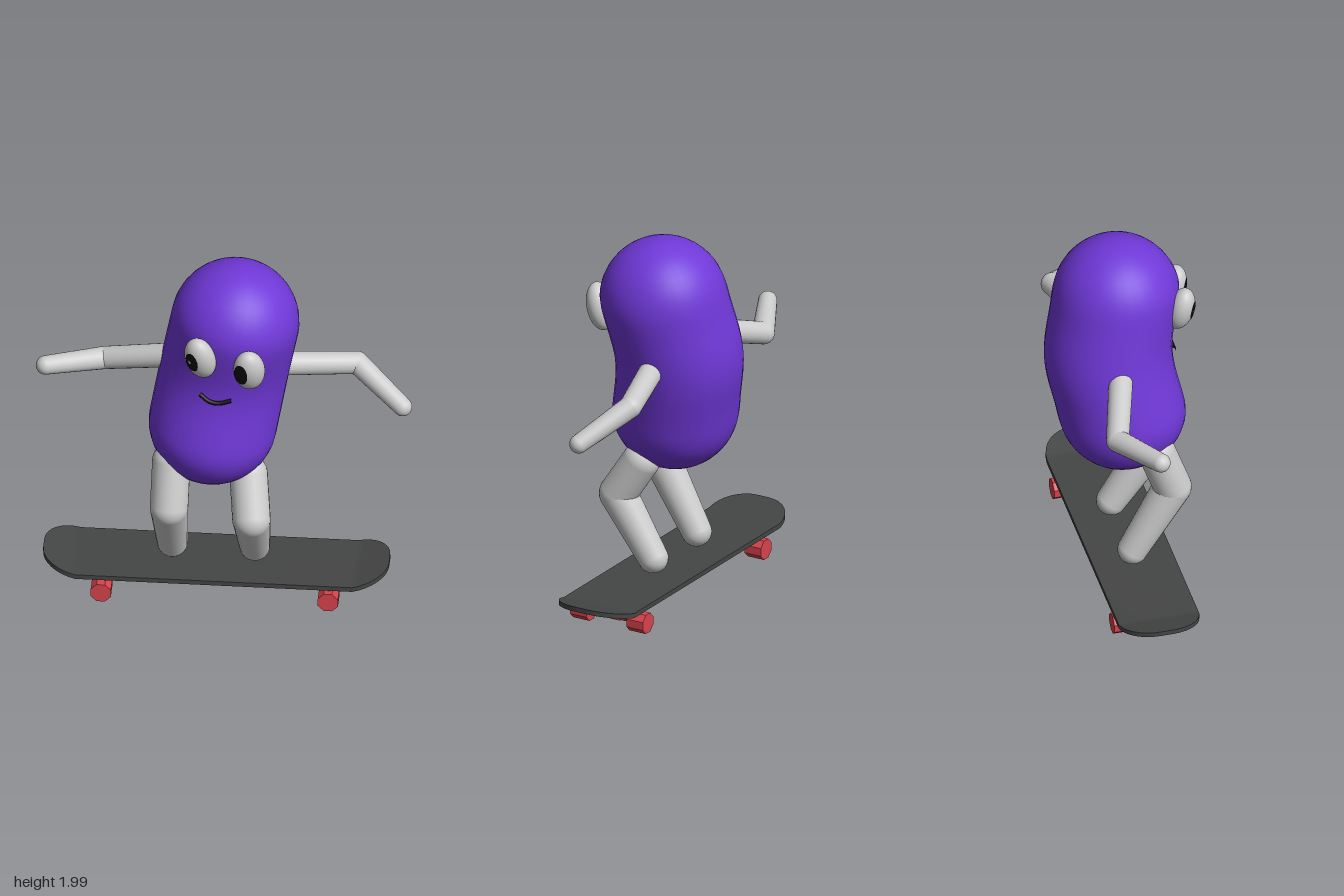
import * as THREE from 'three';
import { mergeVertices } from 'three/addons/utils/BufferGeometryUtils.js';

const mat = (color, extra = {}) => new THREE.MeshStandardMaterial({ color, ...extra });
const V = (p) => new THREE.Vector3(...p);

function add(parent, name, geometry, material, pos = [0, 0, 0]) {
  const mesh = new THREE.Mesh(geometry, material);
  mesh.name = name;
  mesh.position.set(...pos);
  parent.add(mesh);
  return mesh;
}

// Moves every vertex of a geometry by a rule
function reshape(geometry, rule) {
  const p = geometry.attributes.position;
  const v = new THREE.Vector3();
  for (let i = 0; i < p.count; i++) {
    rule(v.fromBufferAttribute(p, i));
    p.setXYZ(i, v.x, v.y, v.z);
  }
  return geometry;
}

// Tapered limb: round joints linked by cones
function limb(parent, name, points, radii, material) {
  const group = new THREE.Group();
  group.name = name;
  parent.add(group);
  points.forEach((p, i) => {
    add(group, name + 'Joint', new THREE.SphereGeometry(radii[i], 24, 16), material, p);
    if (i === 0) return;
    const a = V(points[i - 1]), b = V(p), dir = b.clone().sub(a);
    const cone = new THREE.CylinderGeometry(radii[i], radii[i - 1], dir.length(), 24, 1, true);
    const mesh = add(group, name + 'Segment', cone, material, a.add(b).multiplyScalar(0.5).toArray());
    mesh.quaternion.setFromUnitVectors(V([0, 1, 0]), dir.normalize());
  });
}

// Egg-shaped eye with a pupil patch lying on its surface
function eye(parent, name, pos, yaw, gaze, pupilAngle, white, black) {
  const group = new THREE.Group();
  group.name = name;
  group.position.set(...pos);
  group.rotation.set(0.25, yaw, 0.1, 'YXZ');
  group.scale.set(0.083, 0.13, 0.07);
  parent.add(group);
  add(group, 'eyeball', new THREE.SphereGeometry(1, 32, 24), white);
  const dir = V(gaze).normalize();
  const cap = (n, angle, radius, d, m) =>
    add(group, n, new THREE.SphereGeometry(radius, 24, 6, 0, Math.PI * 2, 0, angle), m)
      .quaternion.setFromUnitVectors(V([0, 1, 0]), d);
  cap('pupil', pupilAngle, 1.025, dir, black);
  return { cap, dir };
}

export function createModel() {
  const model = new THREE.Group();
  model.name = 'beanSkater';
  const grey = mat(0xcccccc), purple = mat(0x7038d8), black = mat(0x0a0a0a);
  const deckMat = mat(0x444645), red = mat(0xd8434c, { flatShading: true });

  // Bean body: capsule bent backwards in the middle and leaning sideways
  let bean = new THREE.CapsuleGeometry(0.335, 0.65, 12, 36, 12);
  bean.deleteAttribute('uv');
  bean.deleteAttribute('normal');
  bean = mergeVertices(bean);
  reshape(bean, (v) => {
    const t = Math.min(1, Math.abs(v.y) / 0.42);
    v.z -= 0.03 * (1 + Math.cos(Math.PI * t));
  });
  bean.computeVertexNormals();
  add(model, 'body', bean, purple, [0, 1.345, 0]).rotation.z = -0.178;

  // Face
  eye(model, 'leftEye', [0.157, 1.587, 0.325], 0.2, [-0.67, 0.2, 0.74], 0.53, grey, black);
  const r = eye(model, 'rightEye', [-0.1, 1.637, 0.305], -0.35, [-0.22, 0.2, 0.96], 0.47, grey, black);
  r.cap('glint', 0.09, 1.04, r.dir.clone().add(V([-0.1, 0.02, 0])).normalize(), grey);
  const smile = new THREE.CatmullRomCurve3(
    [[-0.105, 1.375, 0.262], [-0.06, 1.345, 0.277], [-0.01, 1.335, 0.282], [0.06, 1.352, 0.276]].map(V));
  add(model, 'mouth', new THREE.TubeGeometry(smile, 20, 0.012, 8), black);

  // Arms and legs
  const armR = [0.064, 0.06, 0.05], legR = [0.1, 0.1, 0.08];
  limb(model, 'leftArm', [[0.28, 1.36, -0.07], [0.68, 1.31, -0.18], [0.93, 1.155, -0.02]], armR, grey);
  limb(model, 'rightArm', [[-0.26, 1.39, -0.06], [-0.64, 1.265, -0.18], [-0.935, 1.31, -0.025]], armR, grey);
  limb(model, 'leftLeg', [[0.135, 0.76, 0.09], [0.16, 0.56, 0.215], [0.16, 0.24, 0]], legR, grey);
  limb(model, 'rightLeg', [[-0.265, 0.85, 0.13], [-0.27, 0.61, 0.215], [-0.27, 0.24, 0]], legR, grey);

  // Deck: slab with rounded corners and kicked-up ends
  const steps = 8, halfL = 0.903, halfW = 0.215, corner = 0.18;
  const deck = new THREE.BoxGeometry(2 * steps + 1, 0.026, 2, 2 * steps + 1, 1, 1);
  reshape(deck, (v) => {
    const a = ((Math.abs(v.x) - 0.5) / steps) * Math.PI / 2;
    v.x = Math.sign(v.x) * (halfL - corner + corner * Math.sin(a));
    v.z *= halfW - corner + corner * Math.cos(a);
    v.y += 0.25 * Math.max(0, Math.abs(v.x) - (halfL - corner));
  });
  deck.computeVertexNormals();
  add(model, 'deck', deck, deckMat, [-0.038, 0.143, 0.007]);

  // Trucks with axle, hanger and two wheels
  for (const [name, x, z] of [['leftTruck', 0.56, 0.007], ['rightTruck', -0.625, 0.015]]) {
    const truck = new THREE.Group();
    truck.name = name;
    truck.position.set(x, 0.058, z);
    model.add(truck);
    const axle = new THREE.CylinderGeometry(0.016, 0.016, 0.3, 8).rotateX(Math.PI / 2);
    add(truck, 'axle', axle, red);
    const side = new THREE.Shape([[-0.065, -0.012], [0.065, -0.012], [0.05, 0.03], [0.045, 0.074],
      [-0.045, 0.074], [-0.05, 0.03]].map((p) => new THREE.Vector2(...p)));
    const hanger = new THREE.ExtrudeGeometry(side, { depth: 0.04, bevelEnabled: false })
      .translate(0, 0, -0.02).rotateY(Math.PI / 2);
    add(truck, 'hanger', hanger, red);
    for (const s of [-1, 1]) {
      const wheel = new THREE.CylinderGeometry(0.057, 0.057, 0.1, 8)
        .rotateY(Math.PI / 8).rotateX(Math.PI / 2);
      add(truck, 'wheel', wheel, red, [0, 0, s * 0.172]);
    }
  }
  return model;
}
